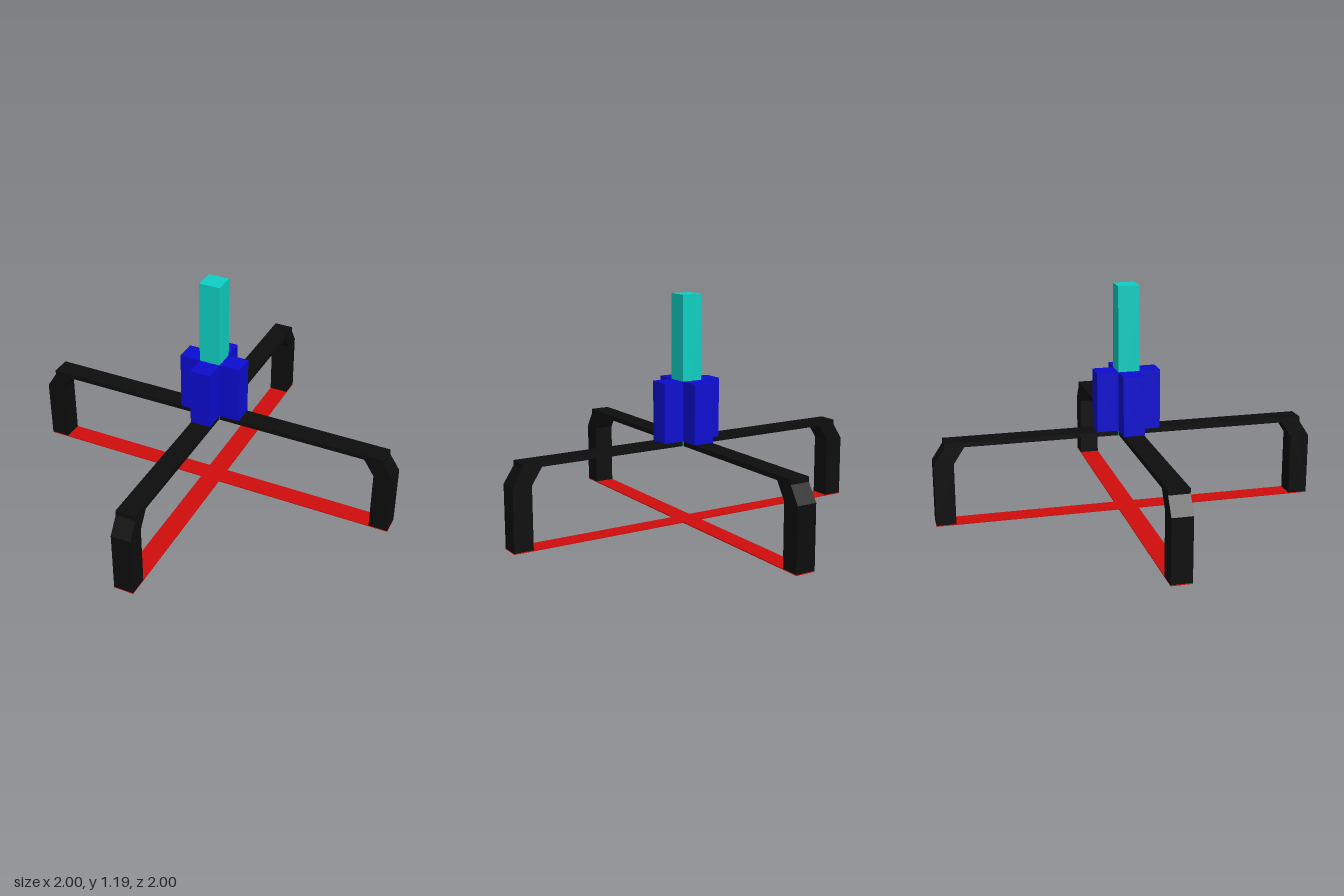
import * as THREE from 'three';

export function createModel() {
  const model = new THREE.Group();
  model.name = 'crossStand';
  const material = (name, color) => {
    const m = new THREE.MeshStandardMaterial({ color });
    m.name = name;
    return m;
  };
  const black = material('black', 0x0d0d0d);
  const red = material('red', 0xd00c0c);
  const blue = material('blue', 0x0c0cd0);
  const teal = material('teal', 0x0dcfc2);

  const add = (parent, name, geometry, mat, x = 0, y = 0, z = 0) => {
    const mesh = new THREE.Mesh(geometry, mat);
    mesh.name = name;
    mesh.position.set(x, y, z);
    parent.add(mesh);
  };

  // Leg: upright post leaning inward at the top to meet the arm
  const legShape = new THREE.Shape([
    [0.9, 0.005], [1, 0.005], [1, 0.325], [0.945, 0.41], [0.845, 0.41], [0.9, 0.325],
  ].map(([x, y]) => new THREE.Vector2(x, y)));
  const legGeometry = new THREE.ExtrudeGeometry(legShape, { depth: 0.104, bevelEnabled: false });
  legGeometry.translate(0, 0, -0.052);

  // Arms, floor strips and blocks start at the sides of the central post
  const half = 0.055;
  const armGeometry = new THREE.BoxGeometry(0.945 - half, 0.025, 0.104);
  const stripGeometry = new THREE.BoxGeometry(1 - half, 0.005, 0.104);
  const blockGeometry = new THREE.BoxGeometry(0.11, 0.31, 0.11);

  // Four identical quarters around the post
  for (let i = 0; i < 4; i++) {
    const quarter = new THREE.Group();
    quarter.name = 'quarter' + (i + 1);
    quarter.rotation.y = i * Math.PI / 2;
    add(quarter, 'leg', legGeometry, black);
    add(quarter, 'arm', armGeometry, black, (0.945 + half) / 2, 0.4225);
    add(quarter, 'floorStrip', stripGeometry, red, (1 + half) / 2, 0.0025);
    add(quarter, 'block', blockGeometry, blue, 0.11, 0.59);
    model.add(quarter);
  }

  // Centre of the floor cross and the tall post
  add(model, 'floorStripCentre', new THREE.BoxGeometry(2 * half, 0.005, 2 * half), red, 0, 0.0025);
  add(model, 'post', new THREE.BoxGeometry(2 * half, 0.777, 2 * half), teal, 0, 0.7965);

  return model;
}
